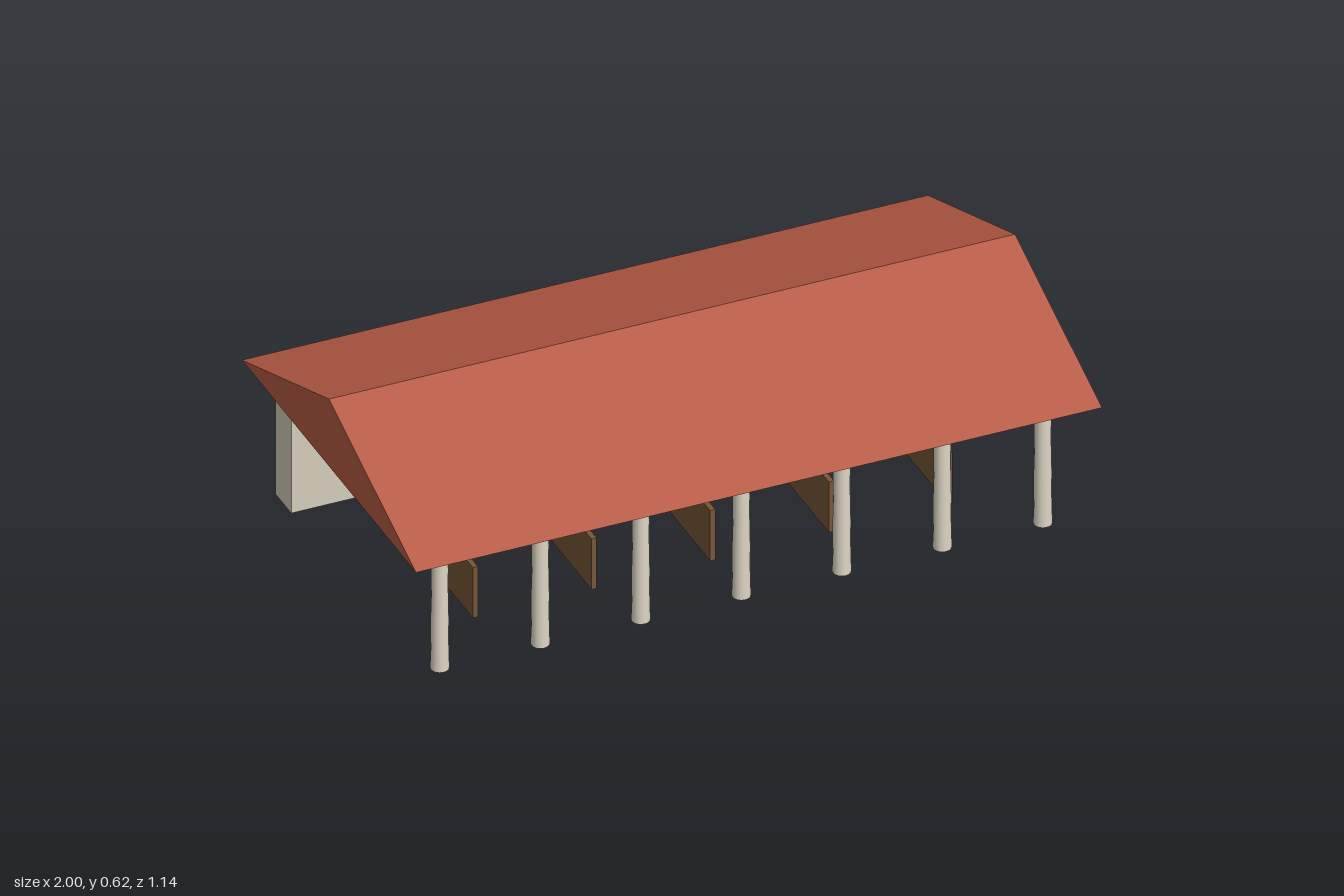
import * as THREE from 'three';

const material = (name, color) => new THREE.MeshStandardMaterial({ name, color });

export function createModel() {
  const group = new THREE.Group();
  group.name = 'openShelter';
  const tile = material('terracotta', 0xb65a44);
  const plaster = material('plaster', 0xd6cebc);
  const stone = material('paleStone', 0xded6c4);
  const wood = material('wood', 0x775638);
  const darkWood = material('darkWood', 0x513725);

  const add = (name, geometry, mat, x, y, z) => {
    const mesh = new THREE.Mesh(geometry, mat);
    mesh.name = name;
    mesh.position.set(x, y, z);
    group.add(mesh);
  };

  const eave = 0.402;

  // Solid gabled roof, extruded along the ridge
  const gable = new THREE.Shape([
    new THREE.Vector2(-0.572, 0),
    new THREE.Vector2(0.572, 0),
    new THREE.Vector2(0, 0.213),
  ]);
  const roof = new THREE.ExtrudeGeometry(gable, { depth: 2, bevelEnabled: false });
  roof.translate(0, 0, -1);
  roof.rotateY(Math.PI / 2);
  add('roof', roof, tile, 0, eave, 0);

  // Thick back wall
  add('backWall', new THREE.BoxGeometry(1.865, eave, 0.105), plaster, 0, eave / 2, -0.4525);

  // Tapered front columns
  const column = new THREE.CylinderGeometry(0.022, 0.0255, eave, 16);
  for (let i = -3; i <= 3; i++) add('column', column, stone, i * 0.293, eave / 2, 0.455);

  // Stall partitions
  const partition = new THREE.BoxGeometry(0.015, 0.16, 0.668);
  for (let i = -2; i <= 2; i++) add('partition', partition, wood, i * 0.346, 0.08, -0.066);

  // Long trough against the wall
  add('trough', new THREE.BoxGeometry(1.335, 0.082, 0.1), darkWood, 0, 0.041, -0.35);

  return group;
}
